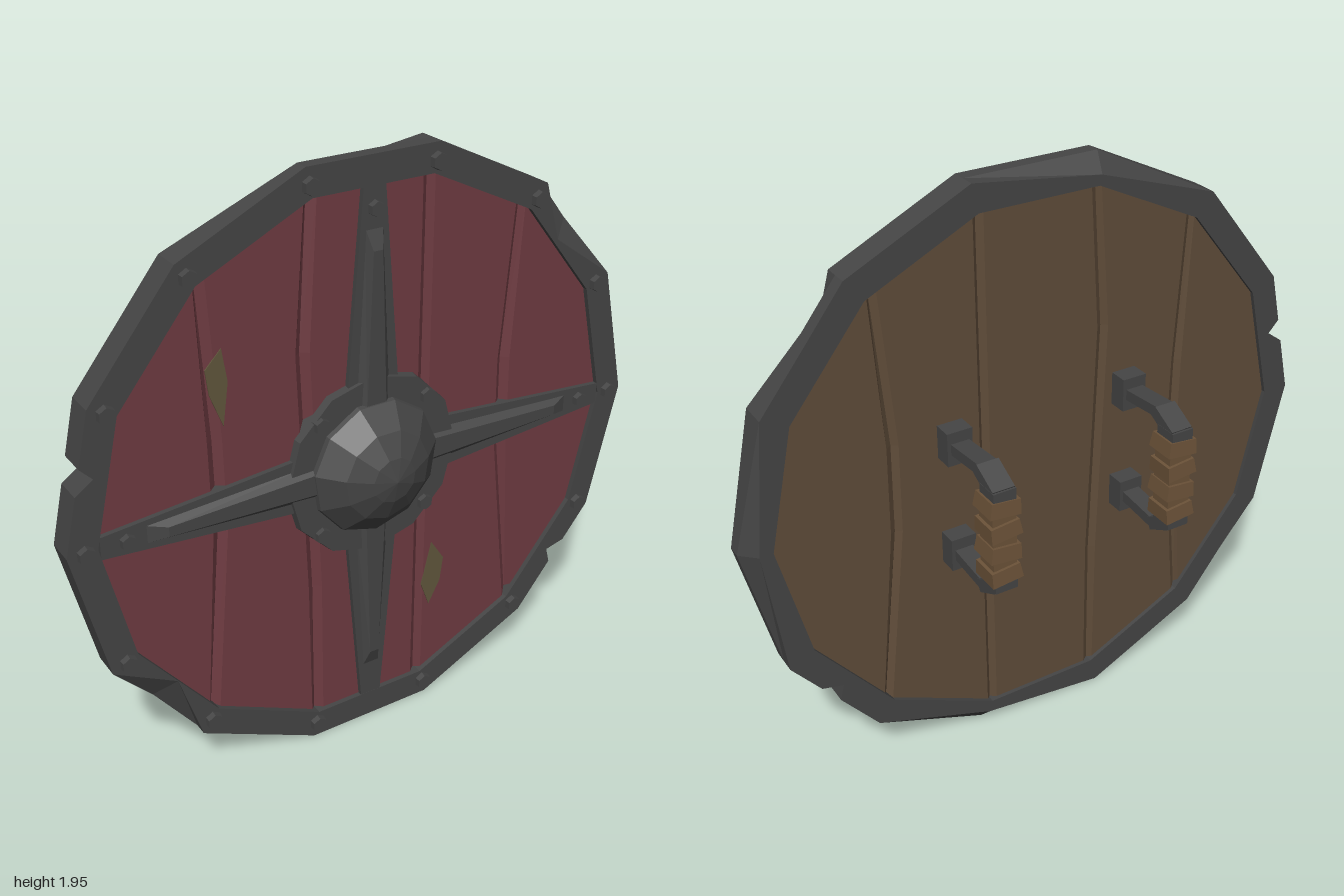
import * as THREE from 'three';

const mat = (name, color) => new THREE.MeshStandardMaterial({ name, color, flatShading: true });
const CY = 0.975, STEP = Math.PI / 7, DEG = Math.PI / 180;

export function createModel() {
  const iron = mat('dark iron', 0x454545);
  const red = mat('red paint', 0x6e3b41);
  const wood = mat('bare wood', 0x5f4c39);
  const chipped = mat('chipped paint', 0x60563c);
  const leather = mat('grip leather', 0x6b5238);

  const root = new THREE.Group();
  const shield = new THREE.Group();
  shield.name = 'shield';
  shield.position.y = CY;
  root.add(shield);
  const add = (name, geo, m, parent = shield) => {
    const mesh = new THREE.Mesh(geo, m);
    mesh.name = name;
    parent.add(mesh);
    return mesh;
  };

  // Radius of a 14-sided polygon at a given angle
  const polyR = (a, R) => {
    const t = ((a % STEP) + STEP) % STEP;
    return R * Math.cos(STEP / 2) / Math.cos(t - STEP / 2);
  };

  // Rim: a swept square section with notches and dents.
  // Each extra station: angle in degrees, front outer radius, back outer radius
  const stations = [];
  const backDents = { 0: 0.95, 4: 0.94, 11: 0.95 };
  for (let i = 0; i < 14; i++) stations.push([i * STEP, 1, backDents[i] ?? 1, i in backDents]);
  const extras = [
    [164.2], [166, 0.928, 0.928], [169.1],        // left notch
    [325.6], [322.2, 0.93, 0.93], [320.2],        // lower right notch
    [41, 0.9, 0.975], [218, 0.885, 0.97],         // hammered front dents
  ];
  for (const [d, f, b] of extras) {
    const a = d * DEG;
    stations.push([a, f ?? polyR(a, 1), b ?? polyR(a, 1), false]);
  }
  stations.sort((p, q) => p[0] - q[0]);
  const pos = [], idx = [];
  const zF = 0.135, zB = 0.042;
  for (const [a, f, b] of stations) {
    const inner = polyR(a, 0.907);
    // a middle ring keeps the outline full where only the back edge is dented
    const mid = Math.max(f, b);
    const section = [[inner, zF], [f, zF], [mid, 0.09], [b, zB], [inner, zB]];
    for (const [r, z] of section) pos.push(r * Math.cos(a), r * Math.sin(a), z);
  }
  const n = stations.length;
  for (let i = 0; i < n; i++) {
    const j = (i + 1) % n;
    for (let k = 0; k < 5; k++) {
      const l = (k + 1) % 5;
      const a = i * 5 + k, b = i * 5 + l, c = j * 5 + l, d = j * 5 + k;
      idx.push(a, b, c, a, c, d);
    }
  }
  const rim = new THREE.BufferGeometry();
  rim.setAttribute('position', new THREE.Float32BufferAttribute(pos, 3));
  rim.setIndex(idx);
  rim.computeVertexNormals();
  add('rim', rim, iron);

  // Planks: split by wavering grooves, painted in front and bare behind
  const grooves = [
    [[-0.58, -0.75], [-0.52, -0.08], [-0.525, 0.22], [-0.557, 0.755]],
    [[-0.2, -0.93], [-0.2, -0.4], [-0.232, 0.42], [-0.2, 0.93]],
    [[0.197, -0.93], [0.2, 0.93]],
    [[0.588, -0.745], [0.51, -0.08], [0.505, 0.22], [0.545, 0.76]],
  ];
  const ring = [];
  for (let i = 0; i < 14; i++) ring.push([0.95 * Math.cos(i * STEP), 0.95 * Math.sin(i * STEP)]);
  const toShape = pts => new THREE.Shape(pts.map(p => new THREE.Vector2(...p)));
  const layer = (shape, z0, z1, size, thick) => new THREE.ExtrudeGeometry(shape, {
    depth: z1 - z0 - 2 * thick, bevelEnabled: size > 0, bevelSegments: 1,
    bevelSize: size, bevelThickness: thick, bevelOffset: -size,
  }).translate(0, 0, z0 + thick);
  for (let i = 0; i < 5; i++) {
    const left = grooves[i - 1] ?? [], right = grooves[i] ?? [];
    const arc = top => {
      const xl = left.length ? left.at(top ? -1 : 0)[0] : -2;
      const xr = right.length ? right.at(top ? -1 : 0)[0] : 2;
      return ring.filter(([x, y]) => (y > 1e-6) === top && x > xl + 0.05 && x < xr - 0.05)
        .sort((p, q) => p[0] - q[0]);
    };
    // clockwise outline: up the left, over the top, down the right, back below
    const shape = toShape([...left, ...arc(true), ...[...right].reverse(), ...arc(false).reverse()]);
    add('plankFront', layer(shape, 0.075, 0.118, 0.024, 0.02), red);
    add('plankBack', layer(shape, 0.056, 0.09, 0.02, 0.014), wood);
  }

  // Patches of worn paint
  const patches = [
    [[-0.545, 0.45], [-0.492, 0.505], [-0.476, 0.4], [-0.495, 0.265], [-0.535, 0.37]],
    [[0.208, -0.535], [0.245, -0.38], [0.294, -0.455], [0.283, -0.54], [0.24, -0.622]],
  ];
  for (const p of patches) add('wornPatch', layer(toShape(p), 0.117, 0.121, 0, 0), chipped);

  // Bolts
  const bolt = (r, a, z, size) => {
    const g = new THREE.CylinderGeometry(size * 0.9, size, 0.03, 6).rotateX(Math.PI / 2);
    add('bolt', g, iron).position.set(r * Math.cos(a), r * Math.sin(a), z - 0.015);
  };
  for (let i = 0; i < 14; i++) bolt(0.945, i * STEP, 0.155, 0.029);
  for (let i = 0; i < 3; i++) bolt(0.82, i * Math.PI / 2, 0.153, 0.026);
  for (let i = 0; i < 4; i++) bolt(0.268, (i + 0.5) * Math.PI / 2, 0.16, 0.028);

  // Cross arms: flat tapered bar with a raised tapered ridge
  const barShape = toShape([[0.2, -0.095], [0.9, -0.036], [0.9, 0.036], [0.2, 0.095]]);
  for (let i = 0; i < 4; i++) {
    const arm = new THREE.Group();
    arm.name = 'crossArm';
    arm.rotation.z = i * Math.PI / 2;
    shield.add(arm);
    add('armBar', layer(barShape, 0.09, 0.1345, 0, 0), iron, arm);
    const ridge = new THREE.BoxGeometry(1, 1, 1);
    const p = ridge.attributes.position;
    for (let v = 0; v < p.count; v++) {
      const tip = p.getX(v) > 0, top = p.getZ(v) > 0, s = Math.sign(p.getY(v));
      const half = tip ? (top ? 0.016 : 0.03) : (top ? 0.035 : 0.062);
      p.setXYZ(v, tip ? (top ? 0.7 : 0.765) : 0.18, s * half, top ? 0.156 : 0.132);
    }
    add('armRidge', ridge, iron, arm);
  }

  // Centre plate and domed boss
  add('centrePlate', new THREE.CylinderGeometry(0.302, 0.31, 0.05, 12).rotateX(Math.PI / 2), iron)
    .position.z = 0.12;
  const dome = [[0.232, 0.12], [0.222, 0.16], [0.15, 0.222], [0.075, 0.258], [0, 0.275]]
    .map(p => new THREE.Vector2(...p));
  add('boss', new THREE.LatheGeometry(dome, 11).rotateX(Math.PI / 2), iron);

  // Handles on the back: mounts, bent brackets and wrapped grip
  const beam = (name, a, b, wide, thick, parent) => {
    const dy = b[0] - a[0], dz = b[1] - a[1];
    const m = add(name, new THREE.BoxGeometry(wide, thick, Math.hypot(dy, dz) + 0.012), iron, parent);
    m.position.set(0, (a[0] + b[0]) / 2, (a[1] + b[1]) / 2);
    m.rotation.x = Math.atan2(-dy, dz);
  };
  for (const side of [-1, 1]) {
    const handle = new THREE.Group();
    handle.name = side > 0 ? 'leftHandle' : 'rightHandle';
    handle.position.set(side * 0.315, 0.002, 0);
    shield.add(handle);
    for (const s of [-1, 1]) {
      add('handleMount', new THREE.BoxGeometry(0.085, 0.112, 0.075), iron, handle)
        .position.set(0, s * 0.19, 0.03);
      beam('handleArm', [s * 0.19, 0], [s * 0.205, -0.165], 0.062, 0.036, handle);
      beam('handleBend', [s * 0.205, -0.165], [s * 0.163, -0.245], 0.074, 0.042, handle);
      add('handleEnd', new THREE.BoxGeometry(0.076, 0.05, 0.08), iron, handle)
        .position.set(0, s * 0.15, -0.226);
    }
    add('gripCore', new THREE.BoxGeometry(0.08, 0.28, 0.078), leather, handle).position.z = -0.222;
    for (let k = 0; k < 4; k++) {
      const wrap = add('gripWrap', new THREE.CylinderGeometry(0.068, 0.074, 0.05, 4, 1, false, Math.PI / 4),
        leather, handle);
      wrap.position.set(0, 0.117 - k * 0.078, -0.222);
      wrap.rotation.z = (k % 2 ? -1 : 1) * 0.1;
    }
  }
  return root;
}
